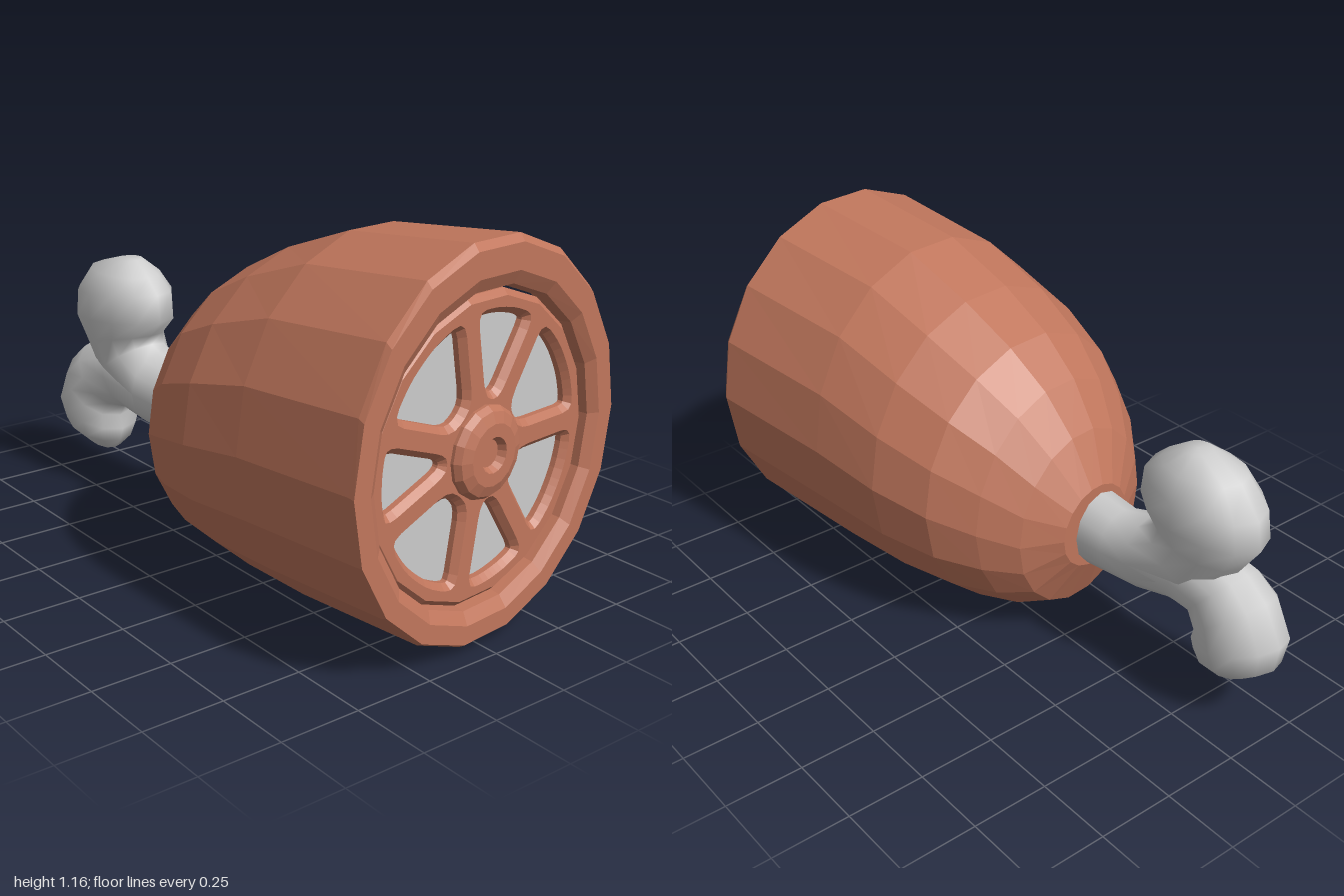
import * as THREE from 'three';

const brown = new THREE.MeshStandardMaterial({ color: 0xc0765c, flatShading: true });
const grey = new THREE.MeshStandardMaterial({ color: 0xcccccc });

// Skin over cross-sections [ax, ay, bx, by, zCentre, zHalf]: a and b are the
// opposite outline points in xy, tilt leans each section in x along z.
function loft(sections, sides, { tilt = 0, phase = 0, stretch = 1, capStart = false, capEnd = false }) {
  const pos = [], idx = [];
  for (const [ax, ay, bx, by, zc, zh] of sections) {
    for (let j = 0; j < sides; j++) {
      const t = phase + (j / sides) * Math.PI * 2;
      const c = Math.cos(t) * stretch / 2, s = Math.sin(t) * zh;
      pos.push((ax + bx) / 2 + (ax - bx) * c + tilt * s, (ay + by) / 2 + (ay - by) * c, zc + s);
    }
  }
  for (let i = 0; i < sections.length - 1; i++) {
    for (let j = 0; j < sides; j++) {
      const k = (j + 1) % sides, p = i * sides, q = p + sides;
      idx.push(p + j, p + k, q + k, p + j, q + k, q + j);
    }
  }
  const cap = (i, flip) => {
    const [ax, ay, bx, by, zc] = sections[i];
    const centre = pos.length / 3;
    pos.push((ax + bx) / 2, (ay + by) / 2, zc);
    for (let j = 0; j < sides; j++) {
      const p = i * sides + j, q = i * sides + (j + 1) % sides;
      if (flip) idx.push(centre, q, p); else idx.push(centre, p, q);
    }
  };
  if (capStart) cap(0, true);
  if (capEnd) cap(sections.length - 1, false);
  const g = new THREE.BufferGeometry();
  g.setAttribute('position', new THREE.Float32BufferAttribute(pos, 3));
  g.setIndex(idx);
  g.computeVertexNormals();
  return g;
}

function add(parent, name, geometry, material) {
  const m = new THREE.Mesh(geometry, material);
  m.name = name;
  parent.add(m);
  return m;
}

// Closed path with rounded corners
function roundedPath(points, radius) {
  const path = new THREE.Path();
  points.forEach((p, i) => {
    const prev = points[(i + points.length - 1) % points.length];
    const next = points[(i + 1) % points.length];
    const toward = (o) => p.clone().lerp(o, Math.min(radius / p.distanceTo(o), 0.4));
    const s = toward(prev), e = toward(next);
    if (i === 0) path.moveTo(s.x, s.y); else path.lineTo(s.x, s.y);
    path.quadraticCurveTo(p.x, p.y, e.x, e.y);
  });
  path.closePath();
  return path;
}

const polar = (r, a) => new THREE.Vector2(r * Math.cos(a), r * Math.sin(a));

function spokePlate() {
  const shape = new THREE.Shape();
  shape.setFromPoints(Array.from({ length: 18 }, (_, i) => polar(0.432, (i / 18) * Math.PI * 2)));
  const spokes = [0, 57, 100, 160, 200, 260, 303, 360].map(THREE.MathUtils.degToRad);
  const half = 0.026, r0 = 0.15, r1 = 0.402;
  for (let i = 0; i < 7; i++) {
    const inner = Math.asin(half / r0), outer = Math.asin(half / r1);
    const a = spokes[i], b = spokes[i + 1];
    const pts = [polar(r0, a + inner)];
    for (let k = 0; k <= 3; k++) pts.push(polar(r1, THREE.MathUtils.lerp(a + outer, b - outer, k / 3)));
    pts.push(polar(r0, b - inner));
    shape.holes.push(roundedPath(pts, 0.05));
  }
  return new THREE.ExtrudeGeometry(shape, {
    depth: 0.02, bevelEnabled: true, bevelThickness: 0.018, bevelSize: 0.018, bevelSegments: 1, curveSegments: 3,
  });
}

export function createModel() {
  const model = new THREE.Group();
  model.name = 'meatOnBone';

  // Meat body with the rim folded inwards at the open end
  const body = [
    [-0.285, 0.55, -0.28, 0.27, 0.09, 0.14],
    [-0.2, 0.7, -0.2, 0.1, 0.1, 0.27],
    [-0.1, 0.83, -0.1, 0.05, 0.09, 0.36],
    [0.03, 0.94, 0.03, 0.03, 0.07, 0.44],
    [0.22, 1.035, 0.22, 0.015, 0.052, 0.493],
    [0.47, 1.125, 0.47, 0.002, 0.028, 0.512],
    [0.92, 1.165, 0.925, 0.02, -0.015, 0.54],
    [0.943, 1.145, 0.947, 0.035, -0.01, 0.535],
    [0.943, 1.07, 0.947, 0.09, -0.01, 0.475],
    [0.922, 1.03, 0.924, 0.125, -0.01, 0.445],
    [0.865, 1.02, 0.865, 0.13, -0.01, 0.44],
  ];
  add(model, 'meatBody', loft(body, 18, {
    tilt: 0.1, phase: Math.PI / 18, stretch: 1 / Math.cos(Math.PI / 18), capStart: true,
  }), brown);

  // Spoked face, turned to look along the leaning axis
  const face = new THREE.Group();
  face.name = 'spokedFace';
  face.position.set(0.905, 0.57, -0.01);
  face.rotation.y = Math.PI / 2 + 0.1;
  model.add(face);
  add(face, 'spokes', spokePlate(), brown).position.z = -0.038;
  add(face, 'backDisc', new THREE.CircleGeometry(0.45, 18), grey).position.z = -0.036;
  const hub = [[0.135, -0.03], [0.135, 0.004], [0.122, 0.022], [0.09, 0.034], [0.052, 0.034], [0.04, 0.012], [0, 0.012]];
  const hubMesh = add(face, 'hub', new THREE.LatheGeometry(hub.map(([x, y]) => new THREE.Vector2(x, y)), 16), brown);
  hubMesh.rotation.x = Math.PI / 2;
  hubMesh.position.z = 0.006;

  // Bone: the shaft forks into an upper and a lower knuckle
  const bone = new THREE.Group();
  bone.name = 'bone';
  model.add(bone);
  const shaft = [
    [-0.2, 0.265, -0.2, 0.535, 0.1, 0.11],
    [-0.38, 0.273, -0.38, 0.505, 0.118, 0.1],
    [-0.5, 0.285, -0.49, 0.535, 0.13, 0.115],
  ];
  const upper = [
    ...shaft,
    [-0.76, 0.4, -0.525, 0.56, 0.14, 0.115],
    [-0.85, 0.53, -0.525, 0.59, 0.145, 0.12],
    [-0.912, 0.62, -0.462, 0.65, 0.145, 0.143],
    [-0.895, 0.71, -0.475, 0.74, 0.145, 0.142],
    [-0.82, 0.8, -0.53, 0.79, 0.145, 0.105],
    [-0.69, 0.838, -0.6, 0.838, 0.145, 0.045],
  ];
  const lower = [
    ...shaft,
    [-0.61, 0.308, -0.72, 0.55, 0.145, 0.11],
    [-0.685, 0.303, -0.86, 0.505, 0.16, 0.115],
    [-0.71, 0.26, -0.935, 0.44, 0.165, 0.13],
    [-0.69, 0.215, -1.0, 0.32, 0.168, 0.133],
    [-0.71, 0.165, -0.985, 0.23, 0.168, 0.11],
    [-0.755, 0.125, -0.9, 0.158, 0.165, 0.055],
  ];
  add(bone, 'upperKnuckle', loft(upper, 12, { capEnd: true }), grey);
  add(bone, 'lowerKnuckle', loft(lower, 12, { capEnd: true }), grey);

  return model;
}
